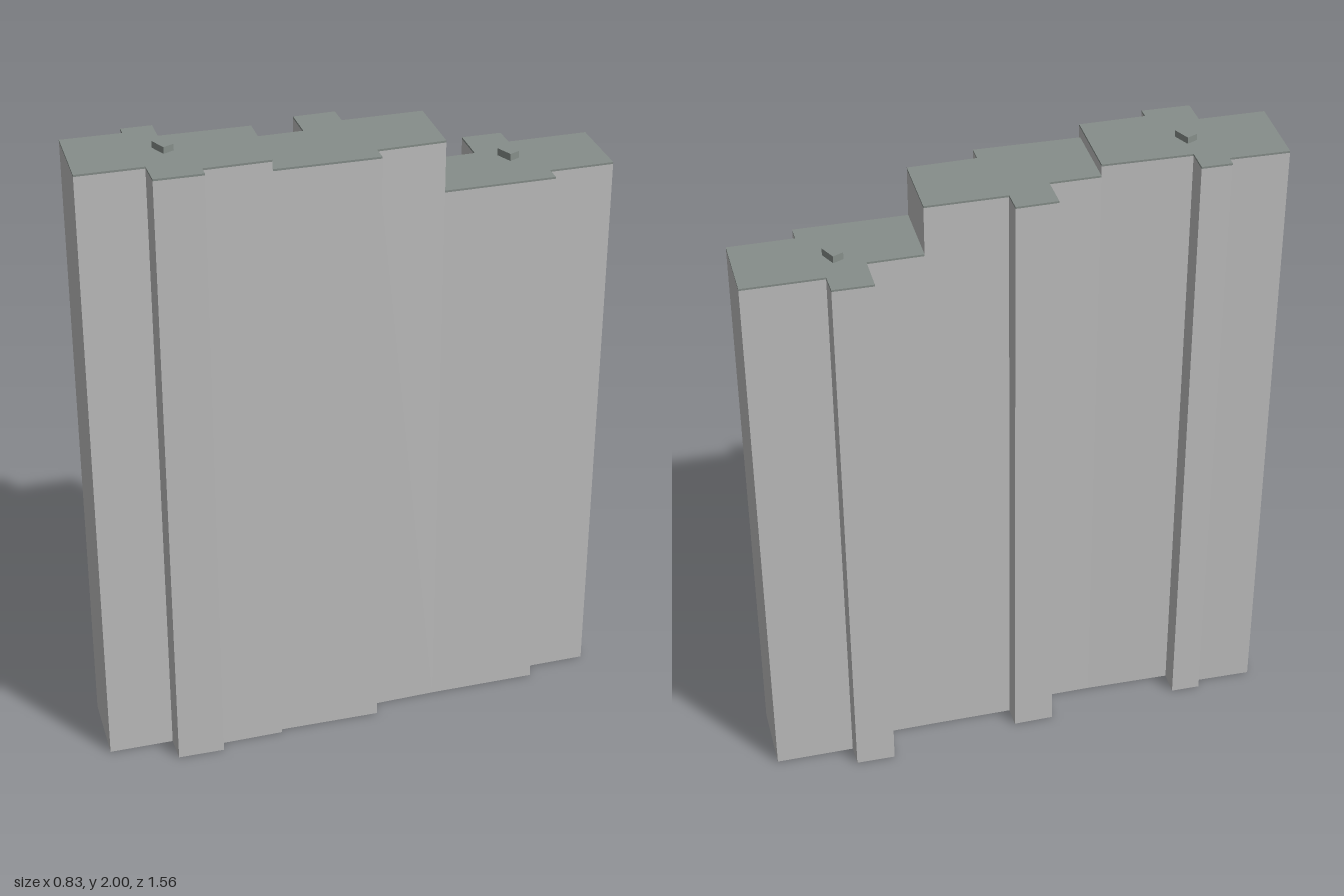
import * as THREE from 'three';

const wall = new THREE.MeshStandardMaterial({ name: 'wall grey', color: 0xbebebe });
const roof = new THREE.MeshStandardMaterial({ name: 'roof grey', color: 0x868e8a });

// Upright prism over a plan outline given as [x, z] corners
function prism(name, plan, y0, y1, material) {
  const shape = new THREE.Shape(plan.map(([x, z]) => new THREE.Vector2(x, -z)));
  const geometry = new THREE.ExtrudeGeometry(shape, { depth: y1 - y0, bevelEnabled: false });
  geometry.rotateX(-Math.PI / 2).translate(0, y0, 0);
  const mesh = new THREE.Mesh(geometry, material);
  mesh.name = name;
  return mesh;
}

// Three stepped tower sections, each with projecting bays; vent is [x, z, top]
const sections = [
  {
    name: 'tallSection', height: 1.98, vent: [-0.18, 0.493, 2.0],
    plan: [[-0.418, 0.673], [-0.205, 0.777], [-0.12, 0.598], [-0.043, 0.632], [0.02, 0.503], [-0.01, 0.489],
      [0.072, 0.31], [-0.143, 0.21], [-0.26, 0.45], [-0.328, 0.418], [-0.367, 0.5], [-0.34, 0.513]],
  },
  {
    name: 'middleSection', height: 1.945,
    plan: [[-0.143, 0.21], [0.06, 0.304], [0.197, 0.02], [0.153, 0], [0.235, -0.187], [0.038, -0.278],
      [-0.064, -0.058], [-0.124, -0.084], [-0.175, 0.03], [-0.08, 0.072]],
  },
  {
    name: 'lowSection', height: 1.79, vent: [0.187, -0.485, 1.812],
    plan: [[0.038, -0.278], [0.235, -0.187], [0.377, -0.49], [0.334, -0.51], [0.416, -0.688], [0.215, -0.78],
      [0.113, -0.56], [0.052, -0.586], [0, -0.477], [0.106, -0.428]],
  },
];

export function createModel() {
  const model = new THREE.Group();
  model.name = 'steppedTower';
  for (const { name, height, plan, vent } of sections) {
    const section = new THREE.Group();
    section.name = name;
    const slab = 0.006;
    section.add(prism('walls', plan, 0, height - slab, wall));
    section.add(prism('roofSlab', plan, height - slab, height, roof));
    // Small rooftop vent box
    if (vent) {
      const [x, z, top] = vent;
      const h = top - height;
      const box = new THREE.Mesh(new THREE.BoxGeometry(0.054, h, 0.035), roof);
      box.position.set(x, height + h / 2, z);
      box.name = 'roofVent';
      section.add(box);
    }
    model.add(section);
  }
  return model;
}
